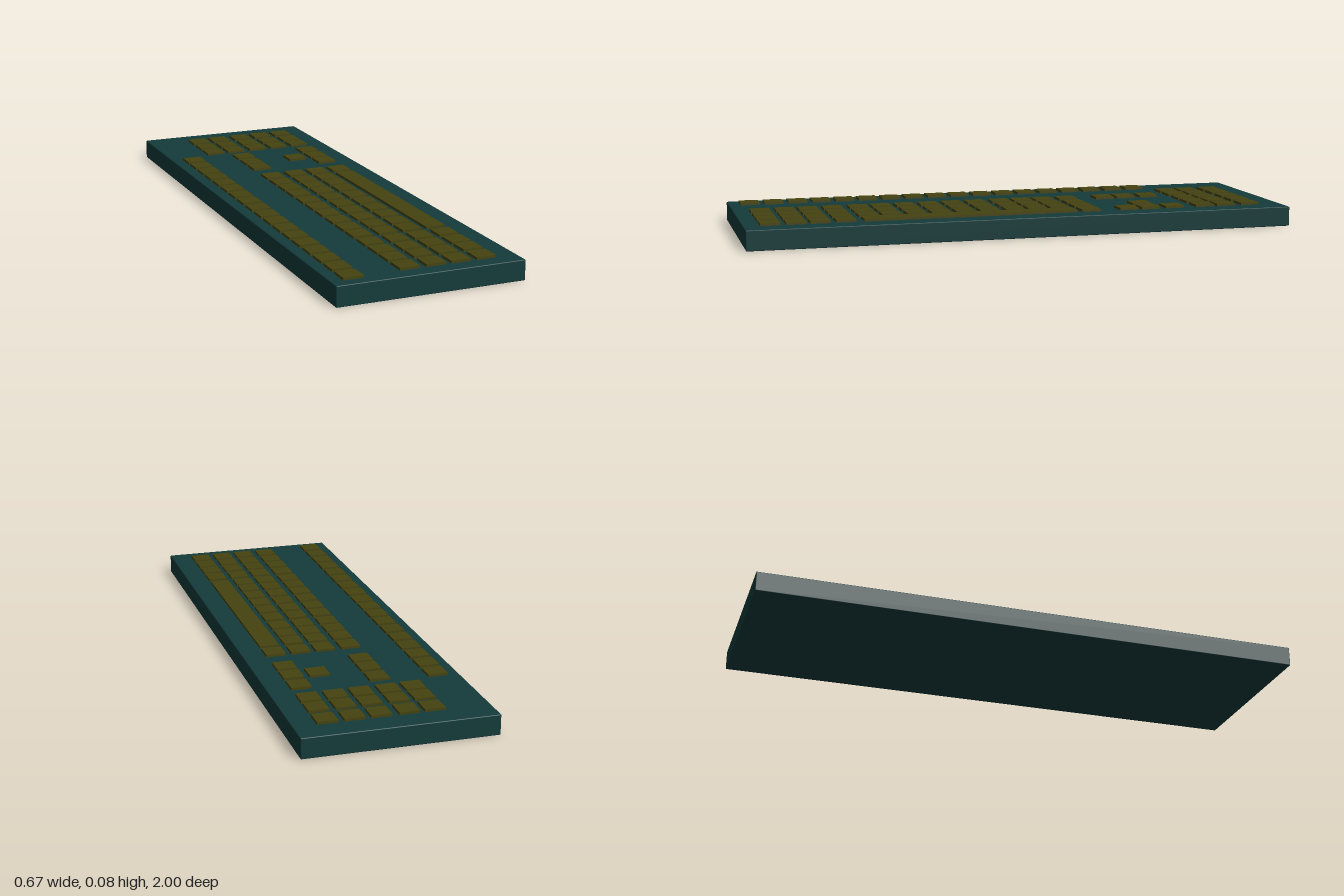
import * as THREE from 'three';
import { RoundedBoxGeometry } from 'three/addons/geometries/RoundedBoxGeometry.js';

const KEY = 0.071, BODY_TOP = 0.072, KEY_TOP = 0.081;

export function createModel() {
  const model = new THREE.Group();
  model.name = 'keyboard';
  const bodyMaterial = new THREE.MeshStandardMaterial({ color: 0x143a3a });
  const keyMaterial = new THREE.MeshStandardMaterial({ color: 0x45430f });

  // Slab with a hairline bevel
  const body = new THREE.Mesh(new RoundedBoxGeometry(0.674, BODY_TOP, 2, 1, 0.003), bodyMaterial);
  body.name = 'body';
  body.position.y = BODY_TOP / 2;
  model.add(body);

  // Keys sink slightly into the slab
  const bottom = BODY_TOP - 0.004, height = KEY_TOP - bottom;
  const keyGeometry = new THREE.BoxGeometry(KEY, height, KEY);
  const addKey = (parent, name, x, z, geometry = keyGeometry) => {
    const key = new THREE.Mesh(geometry, keyMaterial);
    key.name = name;
    key.position.set(x, bottom + height / 2, z);
    parent.add(key);
  };
  const addBlock = (name, columns, rows) => {
    const block = new THREE.Group();
    block.name = name;
    for (const x of columns) for (const z of rows) addKey(block, 'key', x, z);
    model.add(block);
    return block;
  };

  // Row positions along the length
  const functionRows = Array.from({ length: 18 }, (_, i) => -0.593 + i * 0.0892);
  const mainRows = [-0.254, -0.161, -0.077, 0.008, 0.103, 0.193, 0.283,
    0.373, 0.463, 0.548, 0.643, 0.733, 0.817, 0.907];
  const navigationRows = [-0.577, -0.484, -0.4];
  const numberRows = [-0.876, -0.78, -0.696];

  addBlock('functionKeys', [-0.26], functionRows);
  addBlock('mainKeys', [-0.055, 0.04, 0.13], mainRows);
  addBlock('numberPad', [-0.143, -0.055, 0.04, 0.13, 0.222], numberRows);
  addBlock('navigationKeys', [-0.055], navigationRows);

  // Arrow keys form an inverted T
  const arrows = addBlock('arrowKeys', [0.222], navigationRows);
  addKey(arrows, 'key', 0.13, navigationRows[1]);

  // Bottom row: modifier keys either side of the space bar
  const bottomRow = addBlock('bottomRow', [0.222], [mainRows[0], ...mainRows.slice(10)]);
  addKey(bottomRow, 'spaceBar', 0.222, 0.191, new THREE.BoxGeometry(KEY, height, 0.778));

  return model;
}
